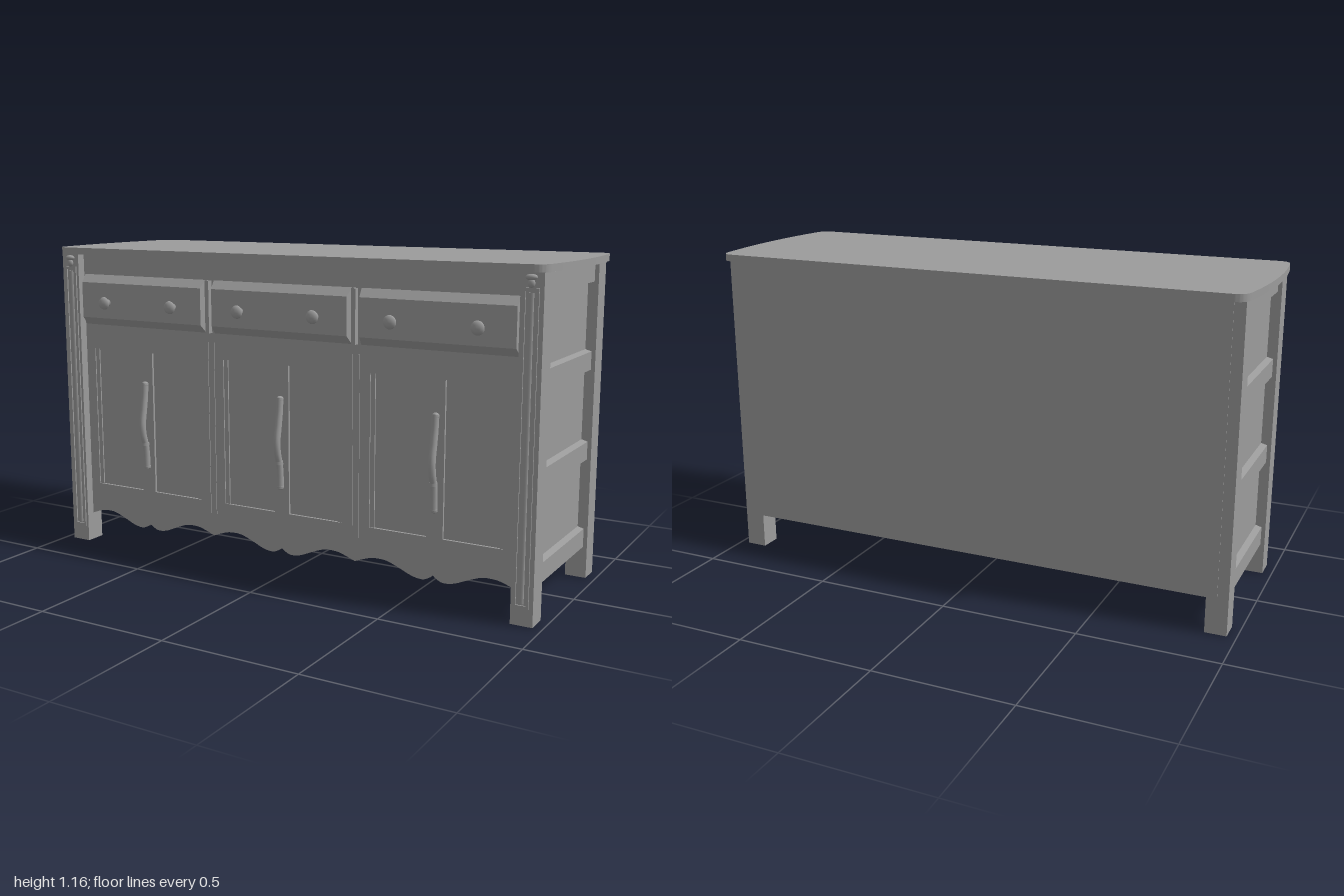
import * as THREE from 'three';
import { toCreasedNormals } from 'three/addons/utils/BufferGeometryUtils.js';

const material = new THREE.MeshStandardMaterial({ color: 0x9b9b9b, side: THREE.DoubleSide });

export function createModel() {
  const model = new THREE.Group();

  const add = (name, geometry, x = 0, y = 0, z = 0) => {
    const mesh = new THREE.Mesh(geometry, material);
    mesh.name = name;
    mesh.position.set(x, y, z);
    model.add(mesh);
    return mesh;
  };
  // Box given by its limits on each axis
  const box = (name, x0, x1, y0, y1, z0, z1) =>
    add(name, new THREE.BoxGeometry(Math.abs(x1 - x0), y1 - y0, z1 - z0),
      (x0 + x1) / 2, (y0 + y1) / 2, (z0 + z1) / 2);
  // Box whose +z face is drawn in to form a bevel
  const bevelBox = (w, h, d, insetX, insetY) => {
    const geometry = new THREE.BoxGeometry(w, h, d).toNonIndexed();
    const pos = geometry.attributes.position;
    for (let i = 0; i < pos.count; i++)
      if (pos.getZ(i) > 0) {
        pos.setX(i, pos.getX(i) - Math.sign(pos.getX(i)) * insetX);
        pos.setY(i, pos.getY(i) - Math.sign(pos.getY(i)) * insetY);
      }
    geometry.computeVertexNormals();
    return geometry;
  };
  const rectPath = (x0, x1, y0, y1) => new THREE.Path([
    [x0, y0], [x0, y1], [x1, y1], [x1, y0]].map(p => new THREE.Vector2(...p)));
  const extrude = (shape, depth, steps = 10) =>
    new THREE.ExtrudeGeometry(shape, { depth, bevelEnabled: false, curveSegments: steps });

  // Top with bowed ends and rounded corners
  const top = new THREE.Shape();
  top.moveTo(-0.93, -0.338);
  top.lineTo(0.93, -0.338);
  top.quadraticCurveTo(0.975, -0.338, 0.98, -0.288);
  top.quadraticCurveTo(1.02, 0, 0.98, 0.3);
  top.quadraticCurveTo(0.975, 0.35, 0.93, 0.35);
  top.lineTo(-0.93, 0.35);
  top.quadraticCurveTo(-0.975, 0.35, -0.98, 0.3);
  top.quadraticCurveTo(-1.02, 0, -0.98, -0.288);
  top.quadraticCurveTo(-0.975, -0.338, -0.93, -0.338);
  const topGeometry = extrude(top, 0.025, 16);
  topGeometry.rotateX(-Math.PI / 2);
  add('top', toCreasedNormals(topGeometry, 0.6), 0, 1.138, 0);

  // Legs, side rails and side panels
  const beadGeometry = new THREE.SphereGeometry(1, 16, 10);
  for (const s of [-1, 1]) {
    box('frontLeg', s * 0.89, s * 0.967, 0, 1.138, 0.243, 0.322);
    box('backLeg', s * 0.89, s * 0.967, 0, 1.138, -0.312, -0.234);
    for (const [y0, y1] of [[0.108, 0.19], [0.432, 0.511], [0.755, 0.834], [1.063, 1.138]])
      add('sideRail', bevelBox(0.477, y1 - y0, 0.025, 0, 0.007), s * 0.94, (y0 + y1) / 2, 0.0045)
        .rotation.y = s * Math.PI / 2;
    box('sidePanel', s * 0.915, s * 0.93, 0.108, 1.138, -0.234, 0.243);

    // Moulding and reed on the front leg
    const frame = new THREE.Shape(rectPath(-0.026, 0.026, 0.06, 1.09).getPoints());
    frame.holes.push(rectPath(-0.018, 0.018, 0.07, 1.08));
    add('legMoulding', extrude(frame, 0.006), s * 0.926, 0, 0.321);
    const reed = new THREE.CylinderGeometry(0.009, 0.009, 1, 12);
    reed.scale(1, 1, 0.6);
    add('legReed', reed, s * 0.926, 0.575, 0.322);
    add('legOrnament', beadGeometry, s * 0.926, 1.123, 0.326).scale.set(0.02, 0.01, 0.011);
    add('legOrnament', beadGeometry, s * 0.926, 1.104, 0.325).scale.set(0.012, 0.014, 0.008);
  }

  // Back, overlapping the back legs, and inner dividers
  box('backPanel', -0.928, 0.928, 0.13, 1.138, -0.314, -0.298);
  for (const x of [-0.3, 0.3]) box('divider', x - 0.008, x + 0.008, 0.195, 1.138, -0.298, 0.264);

  // Front with a scalloped lower edge and door panel openings
  const half = [[0, 0.103], [0.015, 0.092], [0.04, 0.083], [0.08, 0.089], [0.13, 0.11],
    [0.18, 0.127], [0.23, 0.127], [0.265, 0.117], [0.3, 0.104]];
  const wave = new THREE.SplineCurve(half.map(p => new THREE.Vector2(...p))).getPoints(24);
  const edge = [];
  for (const c of [-0.6, 0, 0.6]) {
    for (let i = 24; i > 0; i--) edge.push(new THREE.Vector2(c - wave[i].x, wave[i].y));
    for (let i = 0; i < 24; i++) edge.push(new THREE.Vector2(c + wave[i].x, wave[i].y));
  }
  edge.push(new THREE.Vector2(0.9, 0.104));
  const front = new THREE.Shape([...edge, new THREE.Vector2(0.9, 1.138), new THREE.Vector2(-0.9, 1.138)]);
  const doors = [-0.602, 0.001, 0.603];
  for (const c of doors)
    for (const s of [-1, 1]) {
      const [x0, x1] = [c + s * 0.03, c + s * 0.247].sort((a, b) => a - b);
      front.holes.push(rectPath(x0, x1, 0.235, 0.775));
      box('doorPanel', x0, x1, 0.235, 0.775, 0.275, 0.281);
      box('doorPanelBead', c + s * 0.23, c + s * 0.247, 0.235, 0.775, 0.28, 0.286);
    }
  add('frontFrame', toCreasedNormals(extrude(front, 0.028), 0.6), 0, 0, 0.262);

  // Thin beads between the doors and drawers
  for (const x of [-0.3, 0.3]) {
    for (const d of [-0.013, 0.013]) box('doorBead', x + d - 0.003, x + d + 0.003, 0.19, 0.835, 0.288, 0.293);
    box('drawerBead', x - 0.008, x + 0.008, 0.87, 1.06, 0.288, 0.31);
  }

  // Bevelled drawer front
  const drawerGeometry = bevelBox(0.566, 0.194, 0.028, 0.006, 0.03);

  // Round knob, turned about z
  const knobGeometry = new THREE.LatheGeometry([[0.014, 0], [0.012, 0.004], [0.008, 0.008], [0.009, 0.013],
    [0.019, 0.016], [0.024, 0.024], [0.021, 0.031], [0.011, 0.036], [0, 0.037]]
    .map(p => new THREE.Vector2(...p)), 24);
  knobGeometry.rotateX(Math.PI / 2);

  // Wavy pull handle
  const pull = new THREE.CatmullRomCurve3([[0.66, 0.298], [0.61, 0.302], [0.56, 0.31], [0.5, 0.32],
    [0.46, 0.316], [0.42, 0.305], [0.38, 0.3], [0.33, 0.298]].map(([y, z]) => new THREE.Vector3(0, y, z)));
  const pullGeometry = new THREE.TubeGeometry(pull, 40, 0.0125, 12);
  const bandGeometry = new THREE.CylinderGeometry(0.0145, 0.0145, 0.012, 12);

  for (const c of doors) {
    add('drawerFront', drawerGeometry, c + 0.001, 0.965, 0.303);
    for (const s of [-1, 1]) add('drawerKnob', knobGeometry, c + 0.002 + s * 0.154, 0.958, 0.315);
    add('doorHandle', pullGeometry, c);
    for (const y of [0.336, 0.654]) add('handleEnd', beadGeometry, c, y, 0.298).scale.set(0.013, 0.012, 0.013);
    add('handleBand', bandGeometry, c, 0.425, 0.306);
  }

  return model;
}
